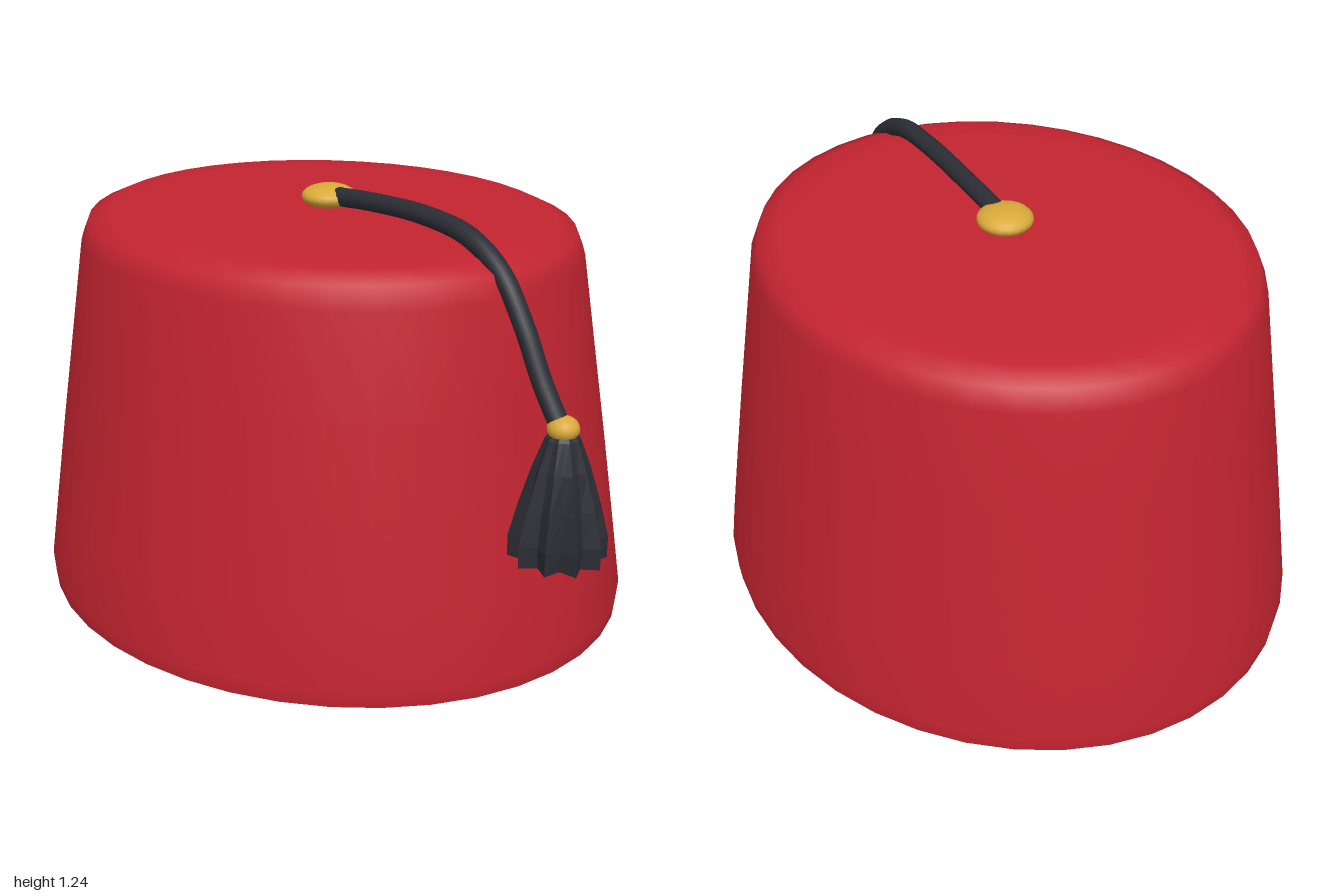
import * as THREE from 'three';

const felt = new THREE.MeshStandardMaterial({ color: 0xc32430 });
felt.name = 'red felt';
const thread = new THREE.MeshStandardMaterial({ color: 0x2b2d34 });
thread.name = 'dark thread';
const strands = new THREE.MeshStandardMaterial({ color: 0x2b2d34, flatShading: true });
strands.name = 'dark tassel strands';
const gold = new THREE.MeshStandardMaterial({ color: 0xd9a93a });
gold.name = 'gold';

const HAT_X = -0.08;
const TASSEL = [0.865, 0.21];

function add(parent, name, geometry, material, x = 0, y = 0, z = 0) {
  const mesh = new THREE.Mesh(geometry, material);
  mesh.name = name;
  mesh.position.set(x, y, z);
  parent.add(mesh);
  return mesh;
}

// Ten-pointed fluted skirt lofted through [y, outer radius, inner radius] rings
function tasselGeometry(rings, points = 10) {
  const n = points * 2;
  const pos = [];
  const index = [];
  for (const [y, outer, inner] of rings) {
    for (let i = 0; i < n; i++) {
      const a = (i / n) * Math.PI * 2;
      const r = i % 2 ? inner : outer;
      pos.push(r * Math.cos(a), y, r * Math.sin(a));
    }
  }
  for (let k = 0; k < rings.length - 1; k++) {
    for (let i = 0; i < n; i++) {
      const a = k * n + i, b = k * n + (i + 1) % n;
      index.push(a, a + n, b, b, a + n, b + n);
    }
  }
  // Caps
  const last = (rings.length - 1) * n;
  const low = pos.length / 3;
  pos.push(0, rings[0][0], 0, 0, rings[rings.length - 1][0], 0);
  for (let i = 0; i < n; i++) {
    const j = (i + 1) % n;
    index.push(low, i, j, low + 1, last + j, last + i);
  }
  const g = new THREE.BufferGeometry();
  g.setAttribute('position', new THREE.Float32BufferAttribute(pos, 3));
  g.setIndex(index);
  g.computeVertexNormals();
  return g;
}

export function createModel() {
  const model = new THREE.Group();
  model.name = 'tasselled hat';

  // Oval tapered crown with a softly rounded top rim
  const hat = new THREE.Group();
  hat.name = 'hat';
  hat.position.x = HAT_X;
  hat.scale.z = 0.88;
  model.add(hat);
  const profile = [
    [0.913, 0], [0.92, 0.055], [0.888, 0.27], [0.85, 0.52], [0.81, 0.77],
    [0.764, 1.06], [0.738, 1.12], [0.675, 1.147], [0.58, 1.15], [0, 1.156],
  ].map(([r, y]) => new THREE.Vector2(r, y));
  add(hat, 'crown', new THREE.LatheGeometry(profile, 40), felt);
  const base = add(hat, 'base', new THREE.CircleGeometry(0.913, 40), felt);
  base.rotation.set(Math.PI / 2, 0, Math.PI / 2);

  // Gold button on top
  add(model, 'button', new THREE.SphereGeometry(0.08, 20, 12), gold, HAT_X, 1.183, 0).scale.y = 0.43;

  // Cord draped over the rim
  const path = new THREE.CatmullRomCurve3([
    [-0.03, 1.188, 0.01], [0.1, 1.2, 0.037], [0.33, 1.209, 0.09], [0.51, 1.188, 0.135],
    [0.63, 1.12, 0.163], [0.72, 1.0, 0.185], [0.79, 0.87, 0.2], [0.857, 0.765, 0.21],
  ].map((p) => new THREE.Vector3(...p)));
  add(model, 'cord', new THREE.TubeGeometry(path, 48, 0.028, 10), thread);
  add(model, 'cordEnd', new THREE.SphereGeometry(0.028, 10, 8), thread, -0.03, 1.188, 0.01);

  // Tassel with its gold knot
  const [x, z] = TASSEL;
  add(model, 'tasselKnot', new THREE.SphereGeometry(0.043, 14, 10), gold, x, 0.765, z).scale.y = 0.8;
  add(model, 'tassel', tasselGeometry([
    [0.405, 0.13, 0.092], [0.465, 0.13, 0.096], [0.56, 0.106, 0.084],
    [0.66, 0.076, 0.066], [0.74, 0.046, 0.042], [0.76, 0.03, 0.028],
  ]), strands, x, 0, z);

  return model;
}
